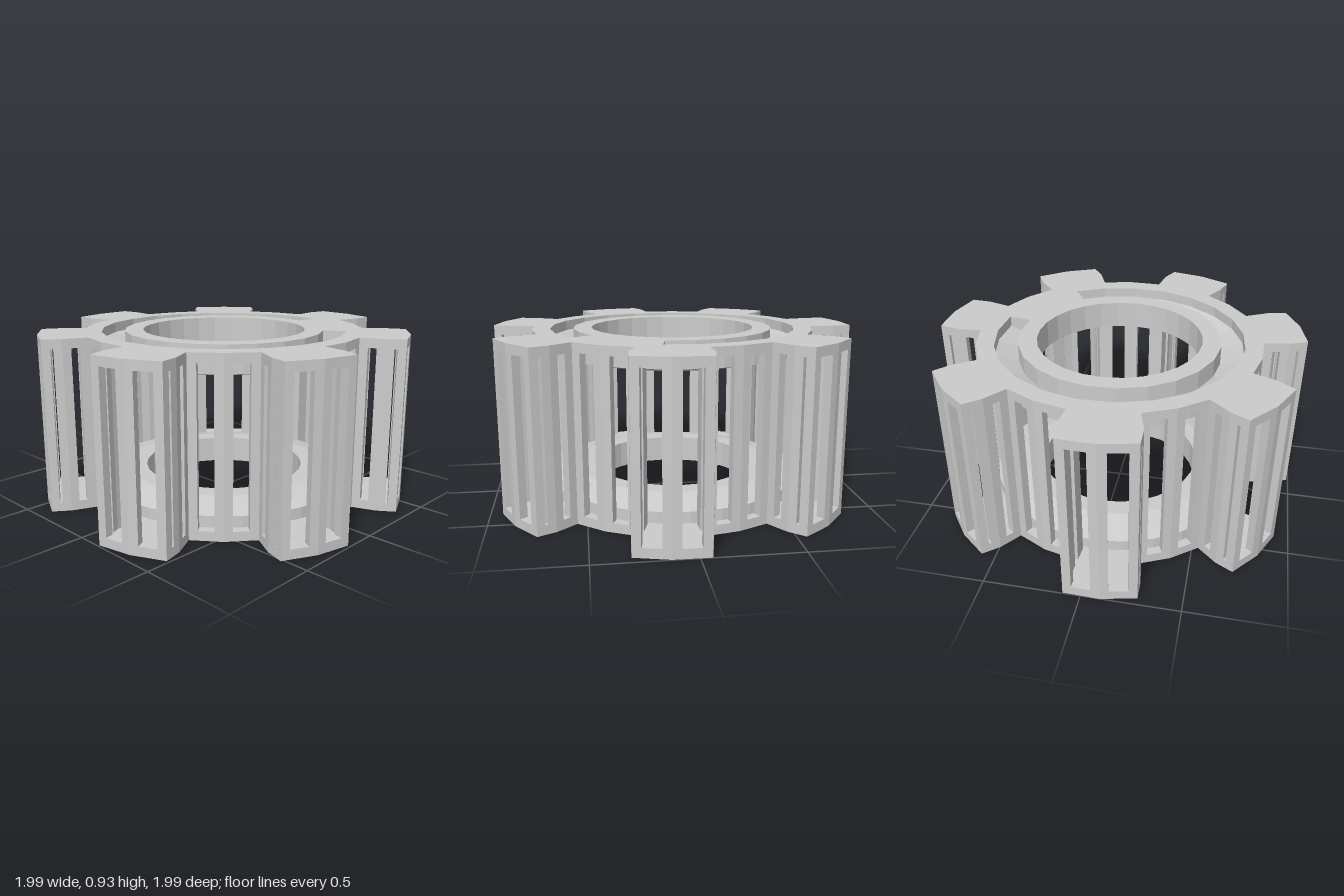
import * as THREE from 'three';

const TEETH = 7, HEIGHT = 0.925, PLATE = 0.05, WALL = 0.045, MARGIN = 0.045;
const HOLE_R = 0.445, GROOVE_IN = 0.545, GROOVE_OUT = 0.67, SEGMENTS = 28;
const rad = THREE.MathUtils.degToRad;
const V = (x, y) => new THREE.Vector2(x, y);
const polar = (r, a) => V(r * Math.cos(a), r * Math.sin(a));

// The groove runs round the top but leaves a gap on one side
const GROOVE_START = rad(55.5), GROOVE_LENGTH = rad(315.5), GROOVE_STEPS = 20;

// Toothed outline in plan: [degrees from tooth centre, radius]
function gearOutline() {
  const tooth = [[-25.71, 0.767], [-12.9, 0.766], [-12.4, 0.9], [-10.7, 1.0],
    [0, 1.005], [10.7, 1.0], [12.4, 0.9], [12.9, 0.766]];
  const points = [];
  for (let i = 0; i < TEETH; i++) {
    for (const [deg, r] of tooth) points.push(polar(r, rad(-95.5 + deg + i * 360 / TEETH)));
  }
  return points;
}

// Extrude a plan shape (x, z) upwards from the given height
function slab(shape, bottom, height) {
  const geometry = new THREE.ExtrudeGeometry(shape, { depth: height, bevelEnabled: false });
  return geometry.rotateX(Math.PI / 2).translate(0, bottom + height, 0);
}

function arcPoints(r, start, length, steps) {
  return Array.from({ length: steps + 1 }, (_, i) => polar(r, start + length * i / steps));
}

// Mitred post that wraps one corner of the outline
function postShape(prev, p, next) {
  const d1 = p.clone().sub(prev).normalize();
  const d2 = next.clone().sub(p).normalize();
  const n1 = V(-d1.y, d1.x), n2 = V(-d2.y, d2.x);
  const mitre = n1.clone().add(n2).normalize();
  const inner = p.clone().addScaledVector(mitre, WALL / mitre.dot(n1));
  const a = p.clone().addScaledVector(d1, -MARGIN);
  const b = p.clone().addScaledVector(d2, MARGIN);
  return new THREE.Shape([a, p, b, b.clone().addScaledVector(n2, WALL), inner,
    a.clone().addScaledVector(n1, WALL)]);
}

export function createModel() {
  const group = new THREE.Group();
  const solid = new THREE.MeshStandardMaterial({ color: 0xcccccc, flatShading: true });
  const thin = new THREE.MeshStandardMaterial({ color: 0xcccccc, flatShading: true, side: THREE.DoubleSide });
  const add = (name, geometry, material = solid, parent = group) => {
    const mesh = new THREE.Mesh(geometry, material);
    mesh.name = name;
    parent.add(mesh);
  };
  const outline = gearOutline();
  const hole = () => new THREE.Path(arcPoints(HOLE_R, 0, Math.PI * 2, SEGMENTS).slice(0, -1));

  // Bottom plate
  const bottom = new THREE.Shape(outline);
  bottom.holes.push(hole());
  add('bottomPlate', slab(bottom, 0, PLATE));

  // Top plate, cut through by the C-shaped groove
  const top = new THREE.Shape(outline);
  top.holes.push(hole(), new THREE.Path([
    ...arcPoints(GROOVE_OUT, GROOVE_START, GROOVE_LENGTH, GROOVE_STEPS),
    ...arcPoints(GROOVE_IN, GROOVE_START, GROOVE_LENGTH, GROOVE_STEPS).reverse()]));
  add('topPlate', slab(top, HEIGHT - PLATE, PLATE));

  // Sloped collars thickening both plates on the inside
  const collar = [[HOLE_R, PLATE], [HOLE_R, 0.15], [GROOVE_IN, 0.15], [0.715, 0.11], [0.715, PLATE]];
  add('bottomCollar', new THREE.LatheGeometry(collar.map(([r, y]) => V(r, y)).reverse(), SEGMENTS));
  add('topCollar', new THREE.LatheGeometry(collar.map(([r, y]) => V(r, HEIGHT - y)), SEGMENTS));

  // Sloping groove floor and its two end walls
  const floor = [V(GROOVE_IN, HEIGHT - PLATE), V(GROOVE_IN, HEIGHT - 0.1),
    V(GROOVE_OUT, HEIGHT - 0.055), V(GROOVE_OUT, HEIGHT - PLATE)];
  const grooveEnd = GROOVE_START + GROOVE_LENGTH;
  add('grooveFloor', new THREE.LatheGeometry(floor, GROOVE_STEPS, Math.PI / 2 - grooveEnd, GROOVE_LENGTH), thin);
  for (const a of [GROOVE_START, grooveEnd]) {
    add('grooveEnd', new THREE.ShapeGeometry(new THREE.Shape(floor)).rotateY(-a), thin);
  }

  // Corner posts between the plates, leaving one tall window per facet
  const posts = new THREE.Group();
  posts.name = 'cornerPosts';
  group.add(posts);
  const n = outline.length;
  outline.forEach((p, i) => {
    const shape = postShape(outline[(i + n - 1) % n], p, outline[(i + 1) % n]);
    add('cornerPost', slab(shape, PLATE, HEIGHT - 2 * PLATE), solid, posts);
  });
  return group;
}
